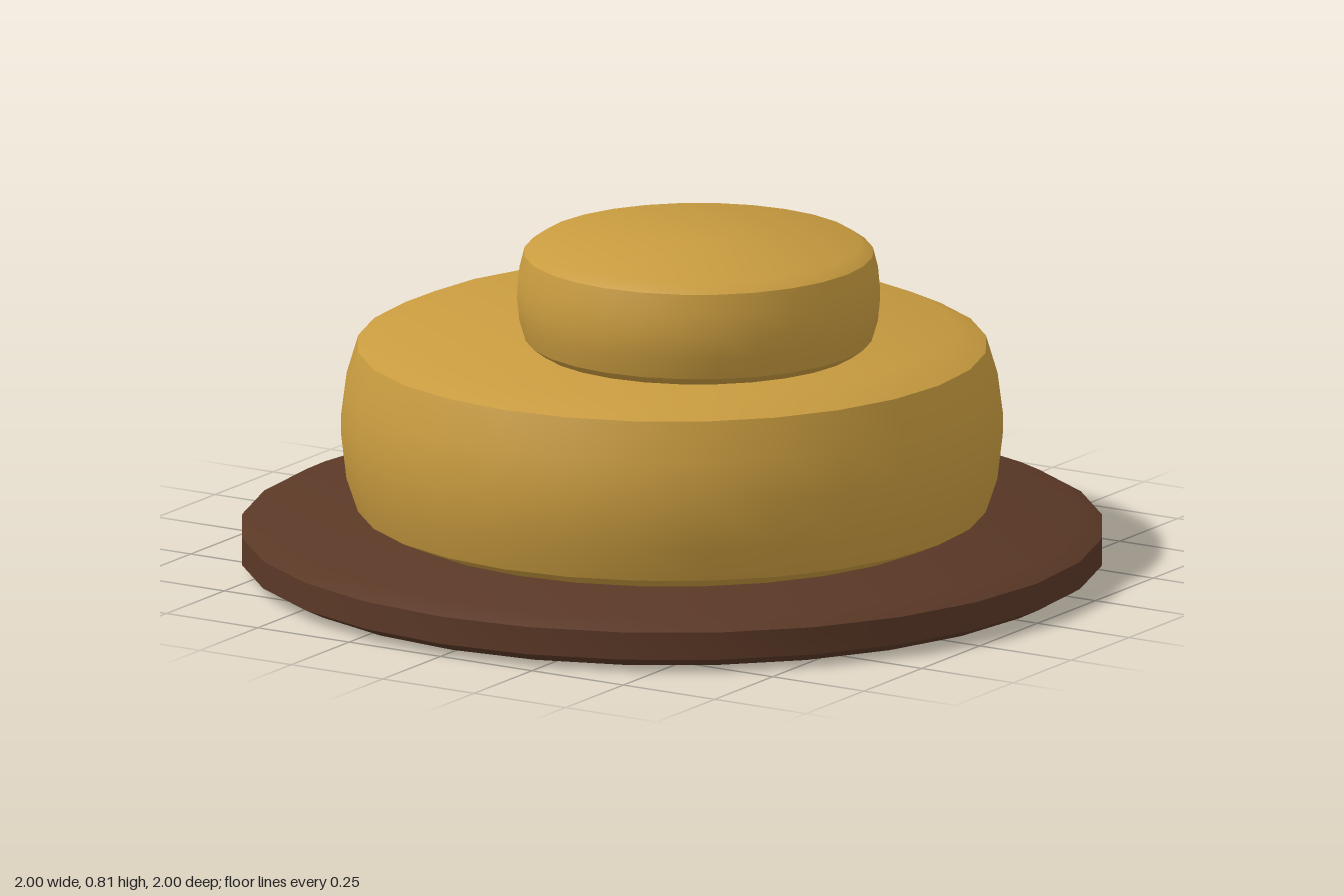
import * as THREE from 'three';
import { toCreasedNormals } from 'three/addons/utils/BufferGeometryUtils.js';

const gold = new THREE.MeshStandardMaterial({ name: 'goldenSponge', color: 0xc89b3f });
const brown = new THREE.MeshStandardMaterial({ name: 'darkBrown', color: 0x5a3826 });

// Turned disc from [radius, height] points, with smooth sides and creased rims
function disc(name, points, material, segments = 28) {
  const profile = points.map(([r, y]) => new THREE.Vector2(r, y));
  const geometry = toCreasedNormals(new THREE.LatheGeometry(profile, segments), 0.64);
  const mesh = new THREE.Mesh(geometry, material);
  mesh.name = name;
  return mesh;
}

export function createModel() {
  const model = new THREE.Group();
  model.name = 'tieredCake';

  // Flat base with bevelled rim
  model.add(disc('basePlate', [
    [0, 0], [0.95, 0.005], [1, 0.03], [1, 0.095], [0.95, 0.12], [0, 0.12],
  ], brown));

  // Wide bulging lower tier
  model.add(disc('lowerTier', [
    [0, 0.115], [0.66, 0.118], [0.73, 0.15], [0.757, 0.23], [0.77, 0.34],
    [0.757, 0.44], [0.73, 0.53], [0.65, 0.567], [0, 0.562],
  ], gold));

  // Small upper tier, set off-centre
  const upper = disc('upperTier', [
    [0, 0.56], [0.375, 0.565], [0.402, 0.585], [0.417, 0.635], [0.422, 0.685],
    [0.417, 0.74], [0.405, 0.787], [0.375, 0.808], [0, 0.81],
  ], gold);
  upper.position.set(0.13, 0, 0.09);
  model.add(upper);

  return model;
}
